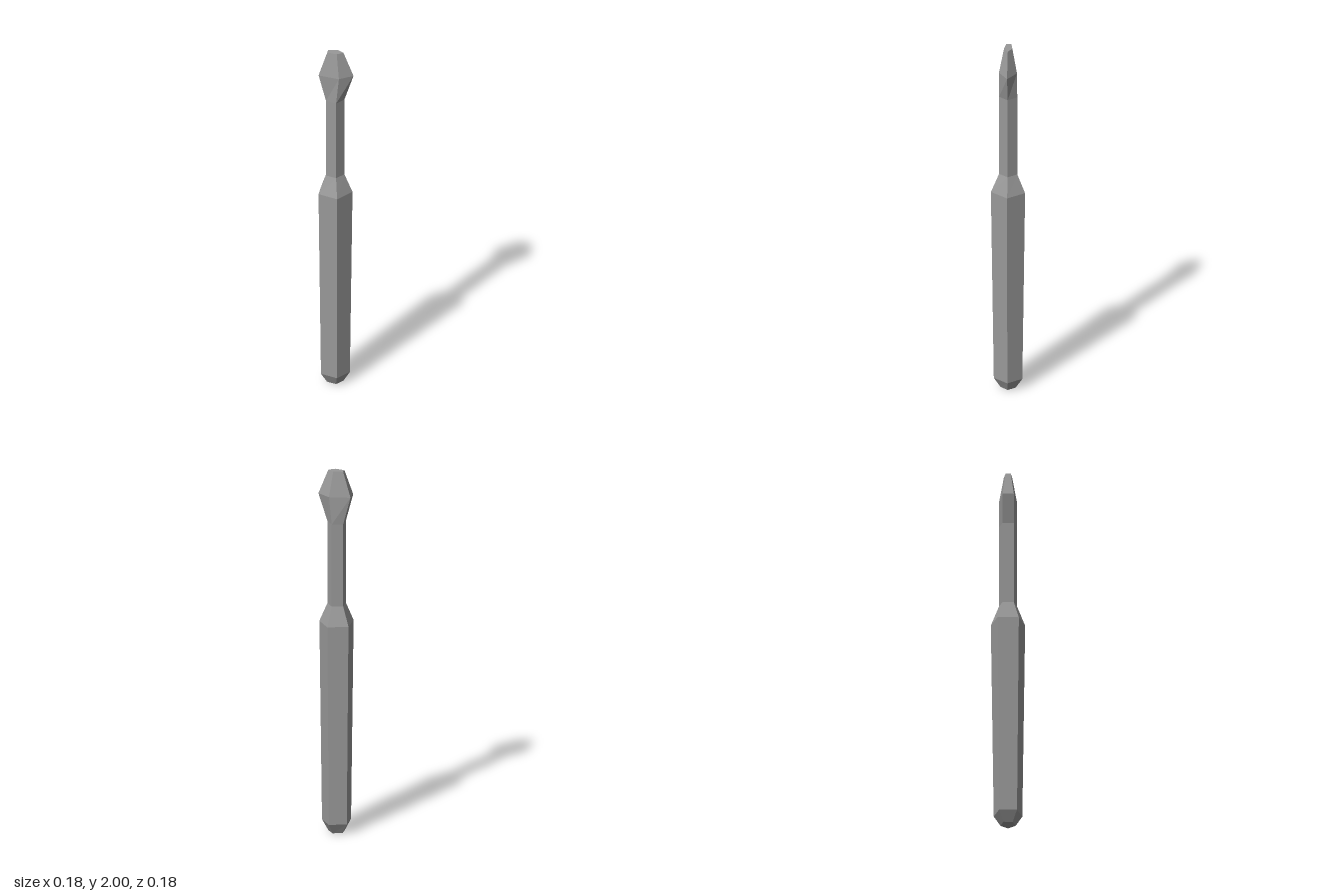
import * as THREE from 'three';

const SIDES = 5;
const AXIS_X = -0.0095; // offset that centres the pentagon's bounding box

// Rings: [height, radius, depth scale]
const HANDLE = [[0, 0.045, 0.92], [0.058, 0.08, 0.98], [1.158, 0.094, 1], [1.26, 0.051, 0.98]];
const SHAFT = [[1.26, 0.051, 0.98], [1.715, 0.051, 0.98]];
const HEAD = [[1.715, 0.051, 0.98], [1.865, 0.0993, 0.5], [2, 0.046, 0.5]];

// Five-sided column through the rings, corner towards +x.
// keep: which cylinder groups to keep (0 wall, 1 top, 2 bottom)
function column(name, rings, keep, material) {
  const n = rings.length - 1;
  const geo = new THREE.CylinderGeometry(1, 1, 1, SIDES, n, false, Math.PI / 2);
  const pos = geo.attributes.position;
  for (let i = 0; i < pos.count; i++) {
    const [y, r, depth] = rings[Math.round((pos.getY(i) + 0.5) * n)];
    pos.setXYZ(i, AXIS_X + pos.getX(i) * r, y, pos.getZ(i) * r * depth);
  }
  const index = Array.from(geo.index.array);
  geo.setIndex(geo.groups
    .filter((g) => keep.includes(g.materialIndex))
    .flatMap((g) => index.slice(g.start, g.start + g.count)));
  geo.clearGroups();
  const flat = geo.toNonIndexed();
  flat.computeVertexNormals();
  const mesh = new THREE.Mesh(flat, material);
  mesh.name = name;
  return mesh;
}

export function createModel() {
  const material = new THREE.MeshStandardMaterial({ color: 0x999999, flatShading: true });
  const model = new THREE.Group();
  model.name = 'screwdriver';
  model.add(
    column('handle', HANDLE, [0, 2], material),
    column('shaft', SHAFT, [0], material),
    column('flatTip', HEAD, [0, 1], material),
  );
  return model;
}
